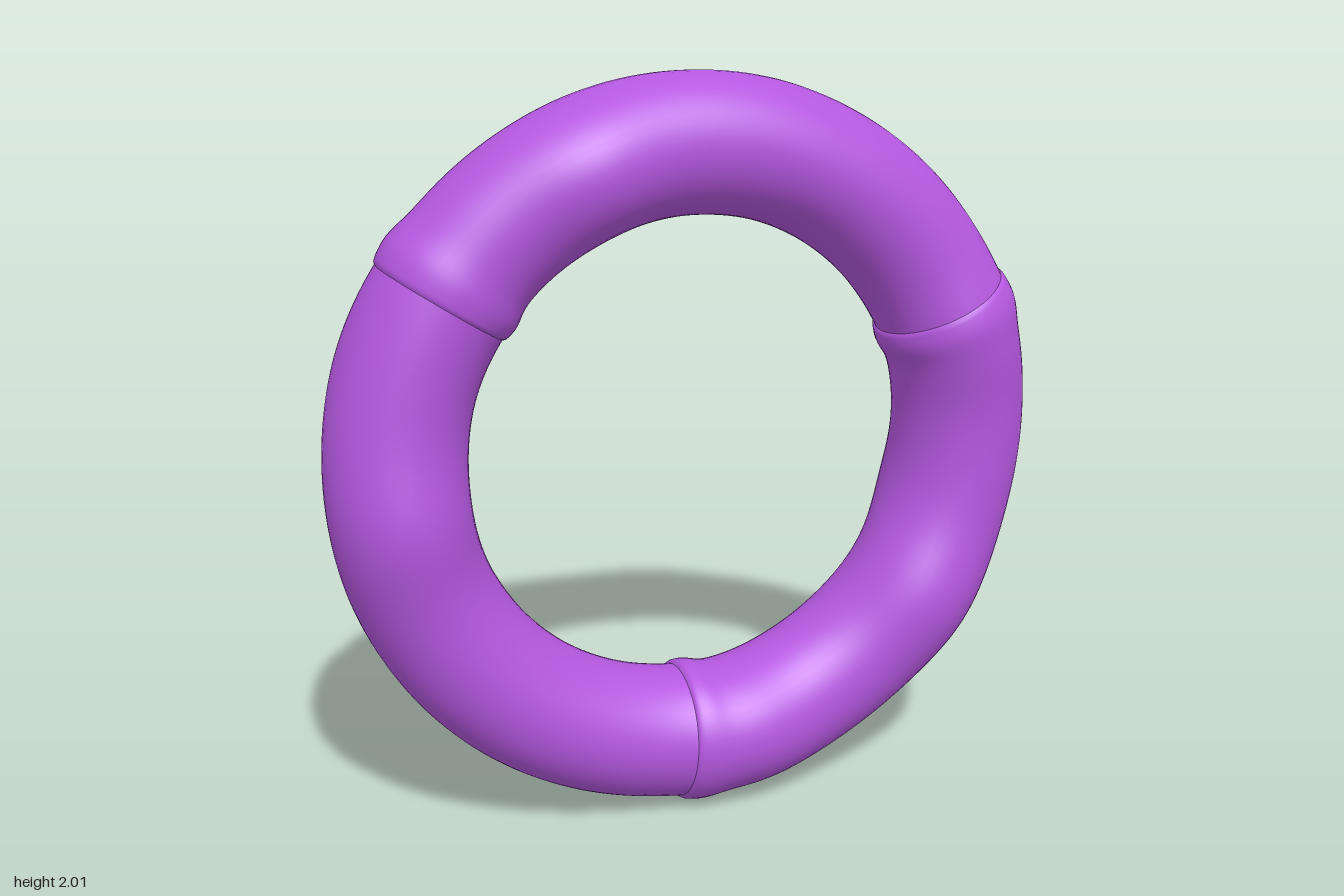
import * as THREE from 'three';

const material = new THREE.MeshStandardMaterial({ color: 0xb558e0 });
const RAD = Math.PI / 180;
const TUBE = 0.183;

// Smooth bump on the circle, angles in degrees
function bump(angle, centre, width) {
  const d = ((angle - centre + 540) % 360) - 180;
  return Math.exp(-((d / width) ** 2));
}

// Gentle swells of the front and back faces around the ring
const frontSwells = [20, 112, 187, 279, 325];
const backSwells = [65, 108, 160, 204, 346];
const swell = (list, a) => 0.034 * Math.min(1, list.reduce((s, c) => s + bump(a, c, 12), 0));

// One curved, round-ended section of the ring; collars are slight swellings near its ends
function section(name, from, to, collars) {
  const steps = 110, sides = 48, cap = 3;
  const positions = [], indices = [];
  for (let i = 0; i <= steps; i++) {
    // Cosine spacing puts more rings at the domed ends
    const a = from + (to - from) * (1 - Math.cos((Math.PI * i) / steps)) / 2;
    const end = Math.min(1, Math.min(a - from, to - a) / cap);
    const dome = Math.sqrt(Math.max(0, 1 - (1 - end) ** 2));
    const collar = collars.reduce((s, c) => s + 0.014 * bump(a, c, 4), 0);
    const r = (TUBE + collar) * dome;
    const front = (TUBE + collar * 0.6 + swell(frontSwells, a)) * dome;
    const back = (TUBE + collar * 0.6 + swell(backSwells, a)) * dome;
    const middle = (front - back) / 2, half = (front + back) / 2;
    const c = Math.cos(a * RAD), s = Math.sin(a * RAD);
    for (let j = 0; j < sides; j++) {
      const t = (j / sides) * Math.PI * 2;
      const out = Math.cos(t) * r;
      positions.push(c * (0.8 + out), 1 + s * (0.815 + out), middle + Math.sin(t) * half);
      if (i < steps) {
        const p = i * sides + j, q = i * sides + ((j + 1) % sides);
        indices.push(p, p + sides, q, q, p + sides, q + sides);
      }
    }
  }
  const geometry = new THREE.BufferGeometry();
  geometry.setAttribute('position', new THREE.Float32BufferAttribute(positions, 3));
  geometry.setIndex(indices);
  geometry.computeVertexNormals();
  const mesh = new THREE.Mesh(geometry, material);
  mesh.name = name;
  return mesh;
}

export function createModel() {
  const ring = new THREE.Group();
  ring.name = 'ring';
  // Three sections that overlap at the joints
  ring.add(
    section('topSection', 20, 149, [143]),
    section('rightSection', 142, 270, []),
    section('leftSection', 264, 389, [269, 383]),
  );
  return ring;
}
